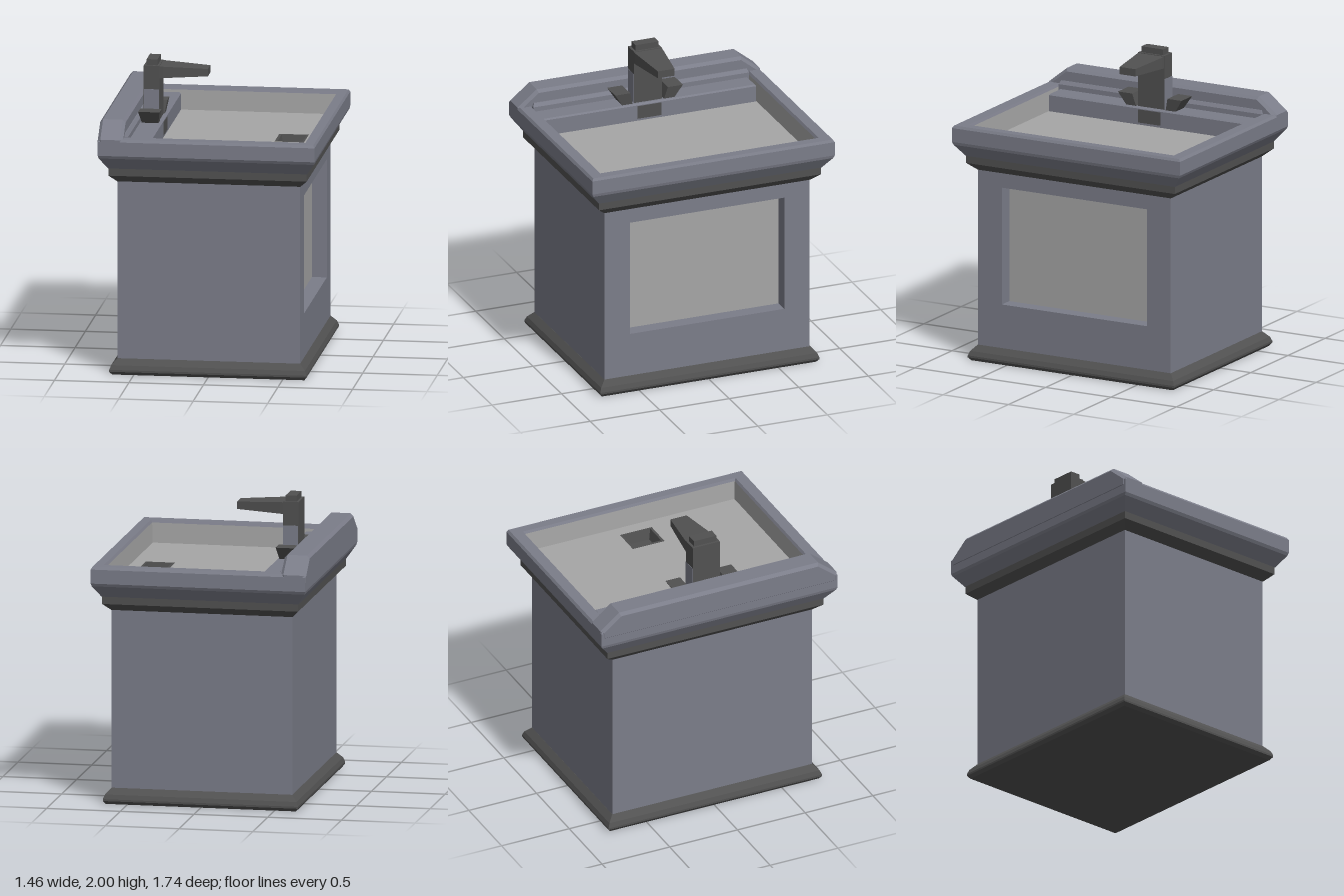
import * as THREE from 'three';

const mat = color => new THREE.MeshStandardMaterial({ color, flatShading: true });
const BODY = mat(0x7b7d89), DARK = mat(0x515151), PALE = mat(0xa6a6a6);

// Rectangular rings [y, x0, x1, z0, z1] joined in order, with optional end caps
function loft(rings, capStart = true, capEnd = true) {
  const pos = [];
  const pts = rings.map(([y, x0, x1, z0, z1]) =>
    [[x0, y, z1], [x1, y, z1], [x1, y, z0], [x0, y, z0]]);
  const quad = (a, b, c, d) => pos.push(...a, ...b, ...c, ...a, ...c, ...d);
  for (let i = 0; i + 1 < pts.length; i++) {
    for (let k = 0; k < 4; k++) {
      const n = (k + 1) % 4;
      quad(pts[i][k], pts[i][n], pts[i + 1][n], pts[i + 1][k]);
    }
  }
  const s = pts[0], e = pts[pts.length - 1];
  if (capStart) quad(s[3], s[2], s[1], s[0]);
  if (capEnd) quad(...e);
  const g = new THREE.BufferGeometry();
  g.setAttribute('position', new THREE.Float32BufferAttribute(pos, 3));
  g.computeVertexNormals();
  return g;
}

// Ring centred on the vertical axis
const sym = (y, hx, hz) => [y, -hx, hx, -hz, hz];

// Box given by its limits
const block = (x0, x1, y0, y1, z0, z1) => loft([[y0, x0, x1, z0, z1], [y1, x0, x1, z0, z1]]);

function rect(path, x0, x1, y0, y1) {
  path.moveTo(x0, y0);
  path.lineTo(x1, y0);
  path.lineTo(x1, y1);
  path.lineTo(x0, y1);
  path.closePath();
  return path;
}

export function createModel() {
  const model = new THREE.Group();
  const add = (name, geometry, material, parent = model) => {
    const m = new THREE.Mesh(geometry, material);
    m.name = name;
    parent.add(m);
  };

  // Cabinet: plinth, body, and a framed recess on the +x side
  add('plinth', loft([sym(0, 0.645, 0.77), sym(0.022, 0.662, 0.788), sym(0.035, 0.662, 0.788),
    sym(0.065, 0.65, 0.776), sym(0.105, 0.613, 0.738)]), DARK);
  add('cabinetBody', block(-0.613, 0.51, 0.1, 1.33, -0.737, 0.737), BODY);
  const frame = rect(new THREE.Shape(), -0.737, 0.737, 0.1, 1.33);
  frame.holes.push(rect(new THREE.Path(), -0.555, 0.555, 0.405, 1.21));
  const frameGeo = new THREE.ExtrudeGeometry(frame, { depth: 0.103, bevelEnabled: false });
  frameGeo.rotateY(Math.PI / 2).translate(0.51, 0, 0);
  add('panelFrame', frameGeo, BODY);
  const panel = new THREE.PlaneGeometry(1.11, 0.805).rotateY(Math.PI / 2);
  add('recessedPanel', panel.translate(0.513, 0.8075, 0), PALE);

  // Moulding under the top
  add('collar', loft([sym(1.31, 0.614, 0.738), sym(1.36, 0.665, 0.798),
    sym(1.415, 0.665, 0.798)], false, false), DARK);

  // Rim: outside, over the top, and down to the basin lip
  add('rim', loft([
    sym(1.41, 0.668, 0.8), sym(1.49, 0.722, 0.862), sym(1.51, 0.727, 0.872),
    sym(1.605, 0.727, 0.872), sym(1.622, 0.717, 0.86),
    [1.622, -0.57, 0.655, -0.785, 0.785], [1.605, -0.57, 0.645, -0.775, 0.775],
  ], false, false), BODY);

  // Backsplash: clipped silhouette extruded along x with a small bevel
  const b = 0.02;
  const back = new THREE.Shape([[-0.852, 1.57], [0.852, 1.57], [0.852, 1.61], [0.727, 1.71],
    [-0.727, 1.71], [-0.852, 1.61]].map(p => new THREE.Vector2(...p)));
  const backGeo = new THREE.ExtrudeGeometry(back,
    { depth: 0.13, bevelThickness: b, bevelSize: b, bevelSegments: 1 });
  backGeo.rotateY(Math.PI / 2).translate(-0.71, 0, 0);
  add('backsplash', backGeo, BODY);
  add('backsplashFoot', loft([[1.54, -0.6, -0.537, -0.775, 0.775],
    [1.622, -0.6, -0.537, -0.775, 0.775], [1.645, -0.6, -0.553, -0.765, 0.765]]), BODY);

  // Basin walls and a floor with a square drain hole
  add('basinWalls', loft([[1.605, -0.57, 0.645, -0.775, 0.775],
    [1.47, -0.57, 0.64, -0.77, 0.77]], false, false), PALE);
  const floor = rect(new THREE.Shape(), -0.57, 0.64, -0.77, 0.77);
  floor.holes.push(rect(new THREE.Path(), 0.365, 0.545, -0.105, 0.105));
  add('basinFloor', new THREE.ShapeGeometry(floor).rotateX(-Math.PI / 2).translate(0, 1.47, 0), PALE);
  add('drain', loft([[1.473, 0.355, 0.553, -0.117, 0.117], [1.473, 0.373, 0.54, -0.1, 0.1],
    [1.4, 0.388, 0.525, -0.085, 0.085]], false, true), DARK);

  // Tap shelf with an overflow slot
  add('tapShelf', loft([[1.465, -0.56, -0.395, -0.768, 0.768],
    [1.58, -0.56, -0.395, -0.768, 0.768], [1.59, -0.56, -0.405, -0.76, 0.76]]), BODY);
  add('overflow', block(-0.41, -0.392, 1.485, 1.575, -0.085, 0.085), DARK);

  // Tap: column, side inlays, cap and tapering spout
  const tap = new THREE.Group();
  tap.name = 'tap';
  model.add(tap);
  add('column', block(-0.525, -0.42, 1.58, 1.96, -0.1, 0.1), DARK, tap);
  add('columnInlay', block(-0.524, -0.421, 1.58, 1.8, -0.102, 0.102), BODY, tap);
  add('tapCap', block(-0.508, -0.435, 1.955, 2, -0.083, 0.083), DARK, tap);
  const spout = loft([[-0.43, -1.956, -1.875, -0.1, 0.1], [-0.4, -1.955, -1.877, -0.098, 0.098],
    [-0.1, -1.94, -1.89, -0.06, 0.06]]);
  add('spout', spout.rotateZ(-Math.PI / 2), DARK, tap);

  // Handles leaning outwards on each side of the tap
  for (const s of [1, -1]) {
    const ring = (y, x0, x1, za, zb) => [y, x0, x1, Math.min(s * za, s * zb), Math.max(s * za, s * zb)];
    add('handle', loft([ring(1.585, -0.525, -0.415, 0.112, 0.185),
      ring(1.675, -0.543, -0.4, 0.135, 0.243)]), DARK, tap);
  }
  return model;
}
